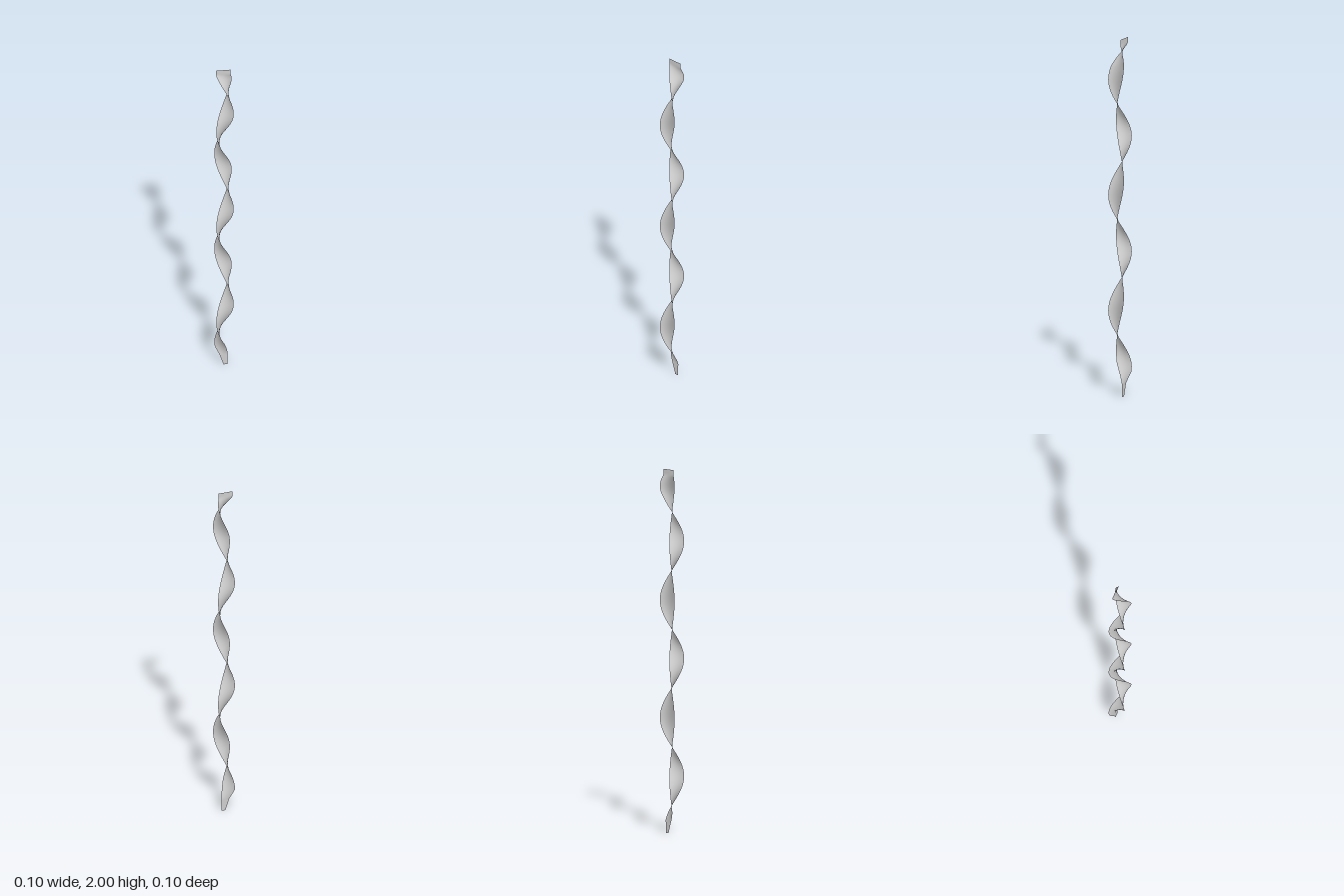
import * as THREE from 'three';

const TOP_TURN = 1.847;   // height where the ribbon first stands edge-on to the front
const QUARTER = 0.1615;   // height of one quarter turn
const RADIUS = 0.026;     // how far the ribbon's middle swings off the axis
const HALF_WIDTH = 0.04;

// Quarter turns at a height; both ends run straight
function turnsAt(y) {
  const pitch = y > TOP_TURN ? 0.12 : QUARTER;
  return THREE.MathUtils.clamp((TOP_TURN - y) / pitch, -1, 11);
}

// The lower tip narrows, one edge more than the other
function halfWidthAt(y, side) {
  const taper = side > 0
    ? THREE.MathUtils.mapLinear(Math.min(y, 0.13), 0, 0.13, -0.02, 1)
    : THREE.MathUtils.mapLinear(THREE.MathUtils.clamp(y, 0.06, 0.18), 0.06, 0.18, 0.55, 1);
  return HALF_WIDTH * taper;
}

export function createModel() {
  const group = new THREE.Group();
  group.name = 'twistedRibbon';

  // Flat strip: the middle winds one way while the width turns the other
  const geometry = new THREE.PlaneGeometry(2, 2, 4, 200);
  const pos = geometry.attributes.position;
  for (let i = 0; i < pos.count; i++) {
    const s = pos.getX(i);
    const y = pos.getY(i) + 1;
    const a = turnsAt(y) * Math.PI / 2;
    const w = s * halfWidthAt(y, s);
    pos.setXYZ(i,
      RADIUS * Math.cos(a) + w * Math.sin(a),
      y,
      RADIUS * Math.sin(a) + w * Math.cos(a));
  }
  geometry.computeVertexNormals();

  const ribbon = new THREE.Mesh(geometry, new THREE.MeshStandardMaterial({
    color: 0xcccccc, side: THREE.DoubleSide,
  }));
  ribbon.name = 'ribbon';
  group.add(ribbon);
  return group;
}
